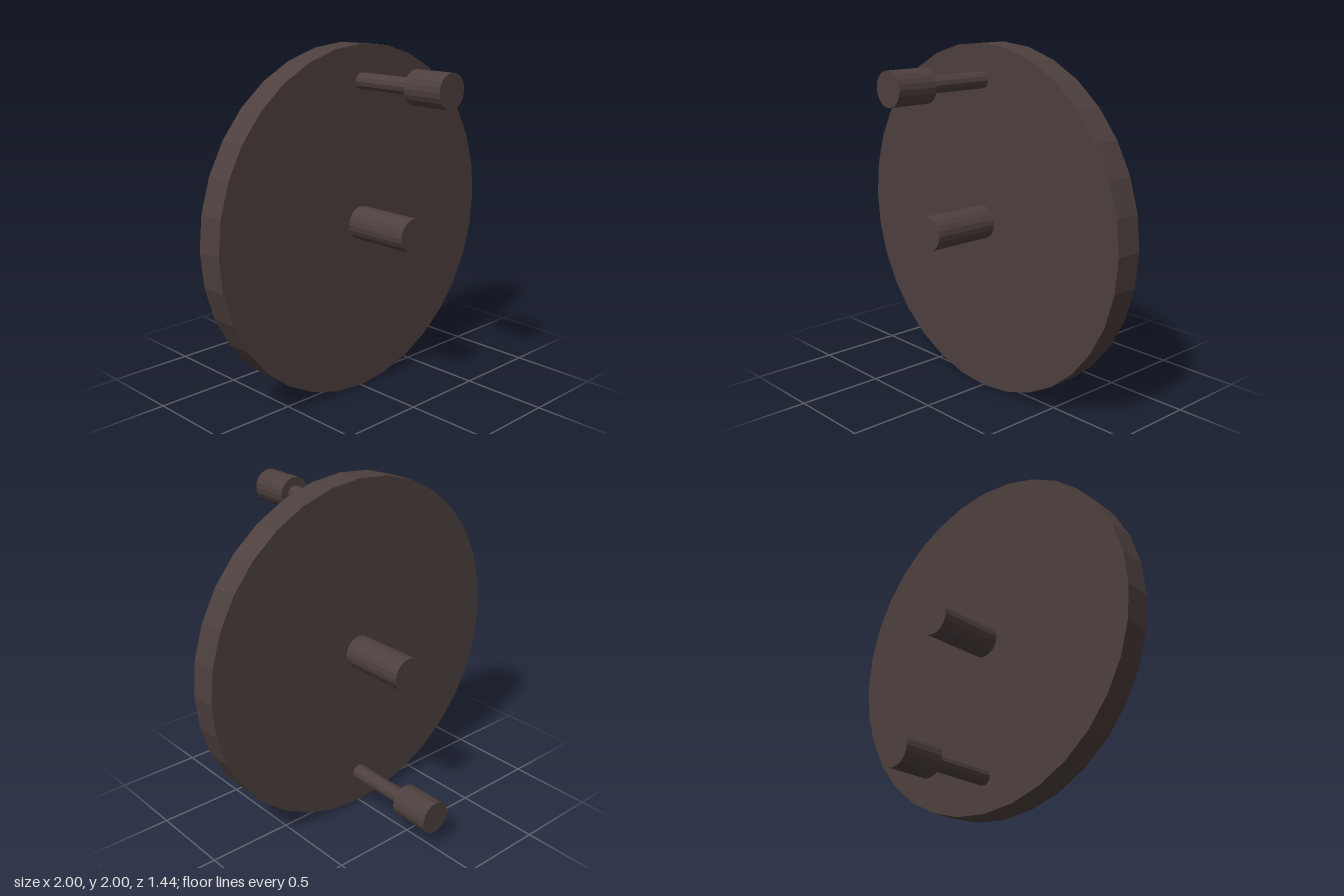
import * as THREE from 'three';

const material = new THREE.MeshStandardMaterial({ color: 0x4d403e, flatShading: true });

// Cylinder lying along z, from z0 to z1, at height y
function rod(name, radius, y, z0, z1, sides) {
  const geometry = new THREE.CylinderGeometry(radius, radius, z1 - z0, sides);
  geometry.rotateX(Math.PI / 2);
  const mesh = new THREE.Mesh(geometry, material);
  mesh.name = name;
  mesh.position.set(0, y, (z0 + z1) / 2);
  return mesh;
}

// Pedal: thin spindle with a thicker grip on its outer end
function pedal(name) {
  const group = new THREE.Group();
  group.name = name;
  group.add(rod('spindle', 0.046, 0.8, 0.07, 0.48, 12));
  group.add(rod('grip', 0.095, 0.8, 0.48, 0.72, 20));
  group.position.y = 1;
  return group;
}

export function createModel() {
  const model = new THREE.Group();
  model.name = 'crankWheel';

  // Wheel disc and the axle through its centre
  model.add(rod('disc', 1, 1, -0.08, 0.08, 32));
  model.add(rod('axle', 0.095, 1, -0.48, 0.48, 20));

  // Upper pedal in front, lower pedal turned half round to the back
  const front = pedal('frontPedal');
  const back = pedal('backPedal');
  back.rotation.x = Math.PI;
  model.add(front, back);
  return model;
}
